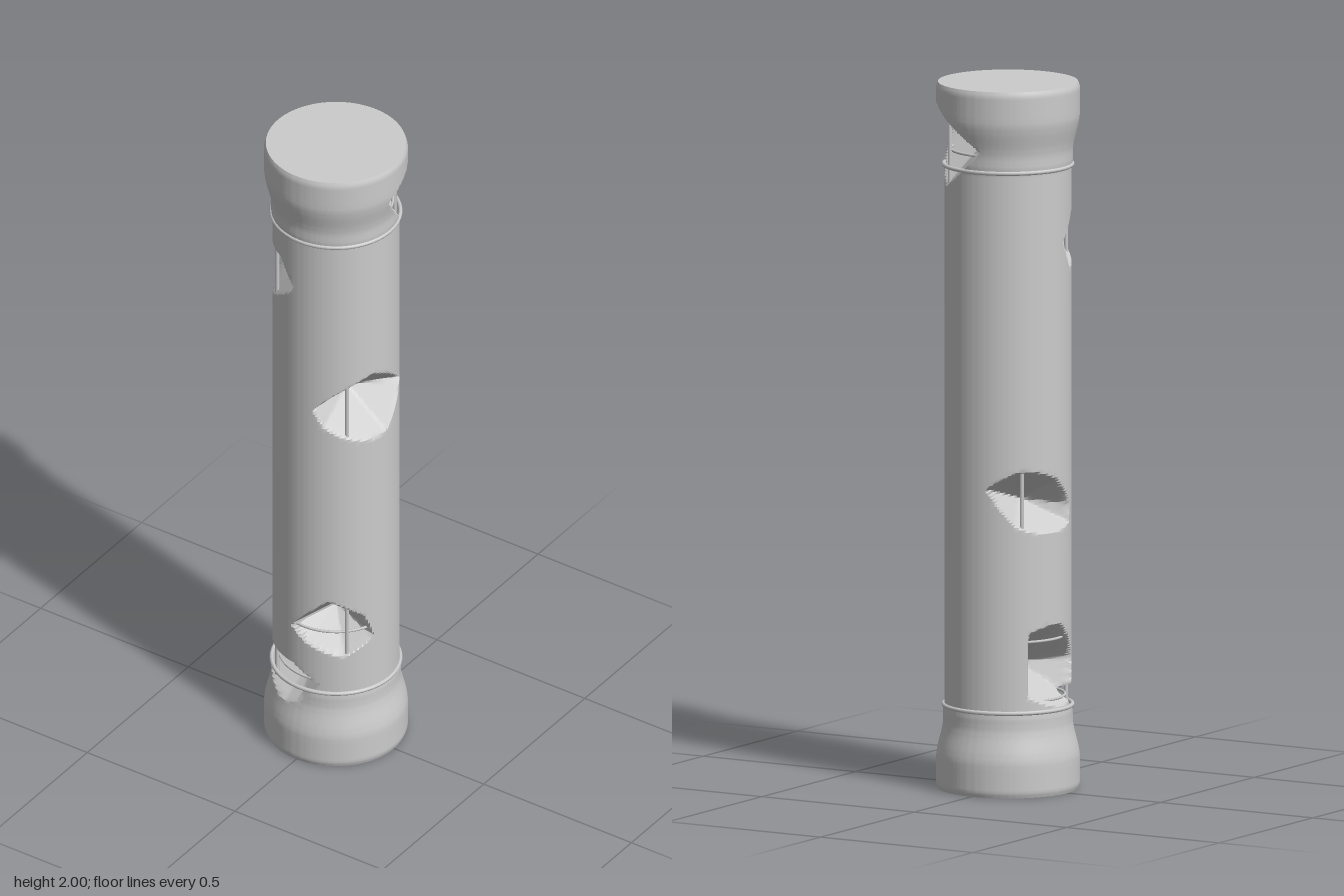
import * as THREE from 'three';
import { toCreasedNormals } from 'three/addons/utils/BufferGeometryUtils.js';

const RAD = Math.PI / 180;
const { smoothstep } = THREE.MathUtils;

// Radius of the undamaged column: plain shaft, flared ends with a tiny bevel
function columnRadius(y) {
  const d = Math.min(y, 2 - y);
  const neck = d < 0.23 ? 0.003 : 0;
  const flare = 0.02 * (1 - smoothstep(d, 0.085, 0.2));
  return 0.178 + neck + flare - 0.005 * Math.max(0, 1 - d / 0.012);
}

const polar = (deg, y, r) =>
  new THREE.Vector3(r * Math.sin(deg * RAD), y, r * Math.cos(deg * RAD));

// Broken-out chips: outline as [degrees from front, height], apex = pit bottom [degrees, height, radius]
const chips = [
  { apex: [-42, 1.59, 0.07], rim: [[-73, 1.48], [-7, 1.59], [-27, 1.67], [-52, 1.67], [-88, 1.56]] },
  { apex: [70, 1.2, 0.05], rim: [[13, 1.2], [23, 1.145], [87, 1.09], [120, 1.21], [70, 1.31], [30, 1.25]] },
  { apex: [35, 0.44, 0.02], rim: [[-10, 0.44], [5, 0.4], [42, 0.36], [70, 0.41], [60, 0.49], [27, 0.55]] },
  { apex: [-30, 0.27, 0.06], rim: [[-16, 0.17], [0, 0.19], [27, 0.29], [-10, 0.31], [-57, 0.35], [-82, 0.34], [-75, 0.25]] },
  { apex: [-95, 0.36, 0.03], rim: [[-129, 0.28], [-129, 0.46], [-92, 0.48], [-56, 0.37], [-66, 0.26], [-110, 0.255]] },
  { apex: [137, 1.84, 0.06], rim: [[85, 1.88], [88, 1.95], [130, 1.94], [186, 1.88], [188, 1.83], [136, 1.71], [105, 1.8]] },
  { apex: [-121, 0.83, 0.06], rim: [[-169, 0.87], [-138, 0.92], [-97, 0.89], [-73, 0.81], [-76, 0.76], [-142, 0.765]] },
];

// Turn each chip into the planes of a faceted pit, normals pointing into the stone
for (const chip of chips) {
  const apex = polar(...chip.apex);
  const pts = chip.rim.map(([a, y]) => polar(a, y, columnRadius(y)));
  const outside = polar(chip.apex[0], chip.apex[1], 0.25);
  chip.planes = pts.map((p, i) => {
    const plane = new THREE.Plane().setFromCoplanarPoints(apex, p, pts[(i + 1) % pts.length]);
    return plane.distanceToPoint(outside) > 0 ? plane.negate() : plane;
  });
}

// Radius at which a ray from the axis enters the pit, or R when it misses
function pitRadius(chip, dx, dz, y, R) {
  let enter = 0.004;
  for (const { normal: n, constant } of chip.planes) {
    const slope = n.x * dx + n.z * dz;
    const r = -(constant + n.y * y) / slope;
    if (slope < 0) enter = Math.max(enter, r);
    else if (r < R) return R;
  }
  return Math.min(R, enter);
}

function brokenColumn() {
  const geo = new THREE.CylinderGeometry(1, 1, 2, 168, 270);
  geo.deleteAttribute('uv');
  const pos = geo.attributes.position;
  for (let i = 0; i < pos.count; i++) {
    const x = pos.getX(i), z = pos.getZ(i), y = pos.getY(i) + 1;
    const len = Math.hypot(x, z);
    let r = 0;
    if (len > 0.5) {
      const R = columnRadius(y);
      r = R;
      for (const chip of chips) r = Math.min(r, pitRadius(chip, x, z, y, R));
    }
    pos.setXYZ(i, x * r, y, z * r);
  }
  return toCreasedNormals(geo, 0.5);
}

export function createModel() {
  const group = new THREE.Group();
  const material = new THREE.MeshStandardMaterial({ color: 0xcccccc, side: THREE.DoubleSide });
  const add = (name, geo, x, y, z) => {
    const mesh = new THREE.Mesh(geo, material);
    mesh.name = name;
    mesh.position.set(x, y, z);
    group.add(mesh);
    return mesh;
  };

  add('brokenColumn', brokenColumn(), 0, 0, 0);

  // Raised trim rings beside the flared ends
  for (const y of [0.237, 1.767]) {
    add('trimRing', new THREE.TorusGeometry(0.18, 0.006, 8, 48), 0, y, 0).rotation.x = Math.PI / 2;
  }

  // Reinforcement cage showing in the broken places
  const bar = new THREE.CylinderGeometry(0.006, 0.006, 1.92, 8);
  for (const x of [-0.118, 0.118]) {
    for (const z of [-0.118, 0.118]) add('reinforcingBar', bar, x, 1, z);
  }
  const hoop = new THREE.TorusGeometry(0.16, 0.004, 6, 40);
  for (const y of [0.265, 0.435, 1.81]) add('reinforcingHoop', hoop, 0, y, 0).rotation.x = Math.PI / 2;

  return group;
}
